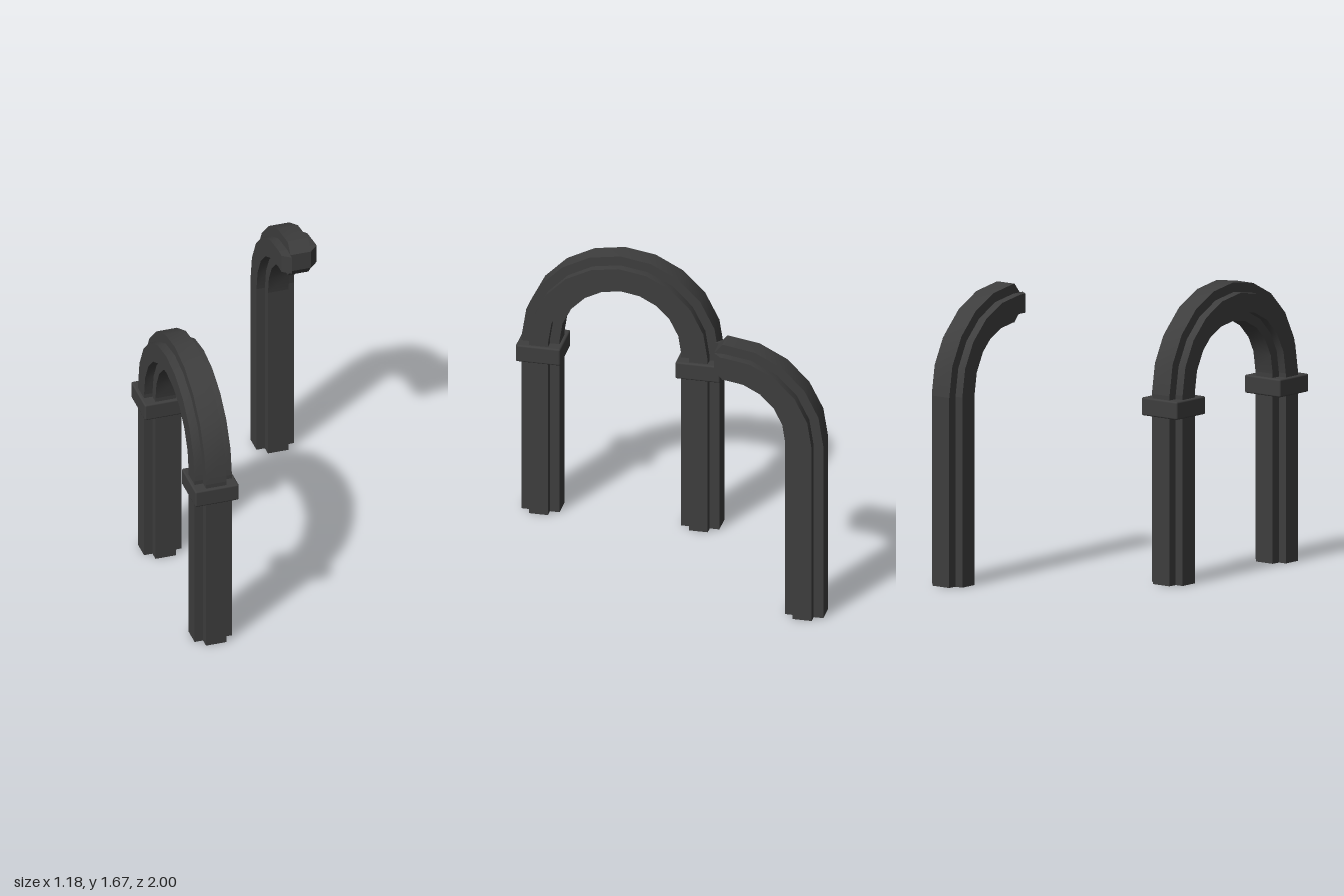
import * as THREE from 'three';
import { toCreasedNormals } from 'three/addons/utils/BufferGeometryUtils.js';
import { RoundedBoxGeometry } from 'three/addons/geometries/RoundedBoxGeometry.js';

const H = 0.111, P = 0.055, Q = 0.061; // half width, core half depth, core half width
const R = 0.465, CY = 1.094;           // arch centreline radius and springing height

// Cross-shaped pillar section as [radial, sideways] points
const SECTION = [
  [H, -Q], [H, Q], [P, Q], [P, H], [-P, H], [-P, Q],
  [-H, Q], [-H, -Q], [-P, -Q], [-P, -H], [P, -H], [P, -Q],
];

export function createModel() {
  const stone = new THREE.MeshStandardMaterial({ color: 0x3e3e3e, side: THREE.DoubleSide });
  stone.name = 'darkStone';
  const model = new THREE.Group();
  model.name = 'archRuins';

  // Section ring at an angle round the arch centre
  const ring = (zc, a, y = CY) => SECTION.map(([u, x]) =>
    new THREE.Vector3(x, y + (R + u) * Math.sin(a), zc + (R + u) * Math.cos(a)));

  // Skin consecutive rings, plus optional extra quads
  function skin(name, rings, quads = []) {
    const all = [...quads];
    for (let i = 0; i < rings.length - 1; i++) {
      for (let j = 0; j < 12; j++) {
        const k = (j + 1) % 12;
        all.push([rings[i][j], rings[i][k], rings[i + 1][k], rings[i + 1][j]]);
      }
    }
    const pos = [];
    for (const [a, b, c, d] of all) {
      for (const t of [[a, b, c], [a, c, d]]) {
        if (new THREE.Triangle(...t).getArea() > 1e-7) t.forEach((v) => pos.push(v.x, v.y, v.z));
      }
    }
    const geo = new THREE.BufferGeometry();
    geo.setAttribute('position', new THREE.Float32BufferAttribute(pos, 3));
    const mesh = new THREE.Mesh(toCreasedNormals(geo, Math.PI / 6), stone);
    mesh.name = name;
    return mesh;
  }

  // Arch rings in 18 degree steps
  function arc(zc, from, steps) {
    return Array.from({ length: steps + 1 }, (_, i) => ring(zc, from + i * Math.PI / 10));
  }

  // Whole arch: two legs, curved top and a collar on each leg
  const arch = new THREE.Group();
  arch.name = 'wholeArch';
  const za = 0.402;
  arch.add(
    skin('frontLeg', [ring(za, 0, 0), ring(za, 0)]),
    skin('archTop', arc(za, 0, 10)),
    skin('backLeg', [ring(za, Math.PI), ring(za, Math.PI, 0)]),
  );
  for (const s of [1, -1]) {
    const collar = new THREE.Mesh(new RoundedBoxGeometry(0.26, 0.104, 0.26, 2, 0.01), stone);
    collar.name = s > 0 ? 'frontCollar' : 'backCollar';
    collar.position.set(0, 1.018, za + s * R);
    arch.add(collar);
  }
  arch.position.x = -0.461;
  model.add(arch);

  // Broken arch: one leg, a quarter curve and a chipped end
  const broken = new THREE.Group();
  broken.name = 'brokenArch';
  const zb = -0.424;
  const rim = ring(zb, Math.PI / 2);
  const rimEnd = rim.map((v) => new THREE.Vector3(v.x, v.y, v.x < -Q - 0.01 ? -0.375 : -0.412));
  const tip = SECTION.map(([u, x]) => new THREE.Vector3(
    THREE.MathUtils.clamp(x, -Q, Q),
    CY + R + THREE.MathUtils.clamp(u, -P, P),
    x < -Q - 0.01 ? -0.338 : -0.364));
  broken.add(
    skin('brokenTip', [tip, rimEnd, rim], [
      [tip[8], tip[5], tip[2], tip[11]],
      [tip[9], tip[8], tip[11], tip[10]],
    ]),
    skin('brokenCurve', arc(zb, Math.PI / 2, 5)),
    skin('brokenLeg', [ring(zb, Math.PI), ring(zb, Math.PI, 0)]),
  );
  broken.position.x = 0.476;
  model.add(broken);

  return model;
}
